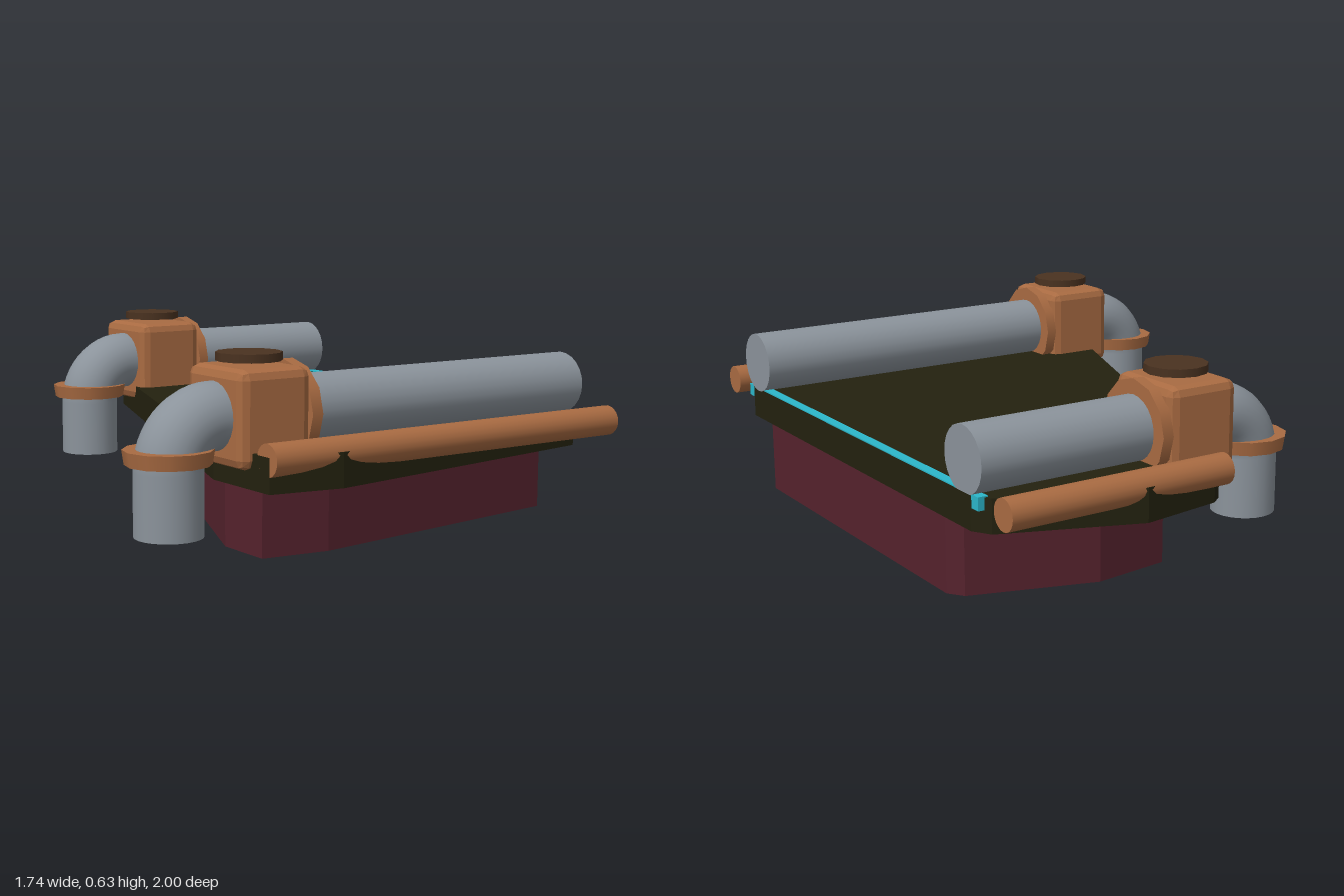
import * as THREE from 'three';
import { RoundedBoxGeometry } from 'three/addons/geometries/RoundedBoxGeometry.js';

const mat = (name, color) => {
  const m = new THREE.MeshStandardMaterial({ color });
  m.name = name;
  return m;
};

export function createModel() {
  const copper = mat('copper', 0xa96b42);
  const steel = mat('steel grey', 0x8b939b);
  const dark = mat('dark olive', 0x23210f);
  const maroon = mat('maroon', 0x55222d);
  const cyan = mat('cyan', 0x2cb6ca);
  const brown = mat('dark brown', 0x4a3220);

  const model = new THREE.Group();
  model.name = 'pipedPlatform';

  const add = (parent, name, geo, material, x = 0, y = 0, z = 0) => {
    const mesh = new THREE.Mesh(geo, material);
    mesh.name = name;
    mesh.position.set(x, y, z);
    parent.add(mesh);
    return mesh;
  };

  // Flat slab from a plan outline of [x, z] points
  const slab = (points, height) => {
    const shape = new THREE.Shape(points.map(([x, z]) => new THREE.Vector2(x, -z)));
    const geo = new THREE.ExtrudeGeometry(shape, { depth: height, bevelEnabled: false });
    return geo.rotateX(-Math.PI / 2);
  };

  // Cylinder lying along x
  const rod = (r, length, sides) =>
    new THREE.CylinderGeometry(r, r, length, sides).rotateZ(Math.PI / 2);

  // Base block and the wider deck on it
  add(model, 'baseBlock', slab([
    [0.865, 0.62], [0.83, 0.67], [-0.2, 0.8], [-0.43, 0.77], [-0.43, 0.57],
    [0.17, -0.77], [0.43, -0.8], [0.83, -0.67], [0.865, -0.62],
  ], 0.24), maroon);
  add(model, 'deck', slab([
    [0.865, 0.77], [0.83, 0.83], [-0.3, 1], [-0.54, 0.96], [-0.54, 0.67],
    [0.08, -0.93], [0.12, -0.96], [0.4, -1], [0.83, -0.83], [0.865, -0.77],
  ], 0.108), dark, 0, 0.24);

  // Light strip set into the deck edge
  add(model, 'edgeStrip', new THREE.BoxGeometry(0.033, 0.042, 1.62), cyan, 0.847, 0.331);

  // Side rails
  for (const [x0, z] of [[-0.54, 0.948], [0.075, -0.948]]) {
    add(model, 'sideRail', rod(0.05, 0.865 - x0, 20), copper, (0.865 + x0) / 2, 0.338, z);
  }

  // Pipe with elbow, collar and valve; dx shifts all but the far end
  const pipeRun = (name, dx, z) => {
    const run = new THREE.Group();
    run.name = name;
    run.position.set(dx, 0, z);
    model.add(run);

    const r = 0.105, bend = 0.15, axisY = 0.445, bendX = -0.585, endX = 0.865 - dx;
    add(run, 'straightPipe', rod(r, endX - bendX, 24), steel, (endX + bendX) / 2, axisY);
    add(run, 'elbow', new THREE.TorusGeometry(bend, r, 24, 12, Math.PI / 2).rotateZ(Math.PI / 2),
      steel, bendX, axisY - bend);
    add(run, 'downPipe', new THREE.CylinderGeometry(r, r, 0.195, 24), steel,
      bendX - bend, 0.1975);
    add(run, 'elbowCollar', new THREE.CylinderGeometry(0.137, 0.13, 0.045, 12), copper,
      bendX - bend, 0.338);

    // Chamfered valve housing
    const housing = new RoundedBoxGeometry(0.255, 0.295, 0.295, 1, 0.03);
    housing.computeVertexNormals();
    add(run, 'valveHousing', housing, copper, -0.45, 0.443);
    add(run, 'valveFlange', rod(0.155, 0.038, 12), copper, -0.306, axisY);
    add(run, 'valveCap', new THREE.CylinderGeometry(0.102, 0.102, 0.026, 12), brown, -0.45, 0.616);
  };
  pipeRun('frontPipeRun', 0, 0.727);
  pipeRun('backPipeRun', 0.547, -0.73);

  return model;
}
